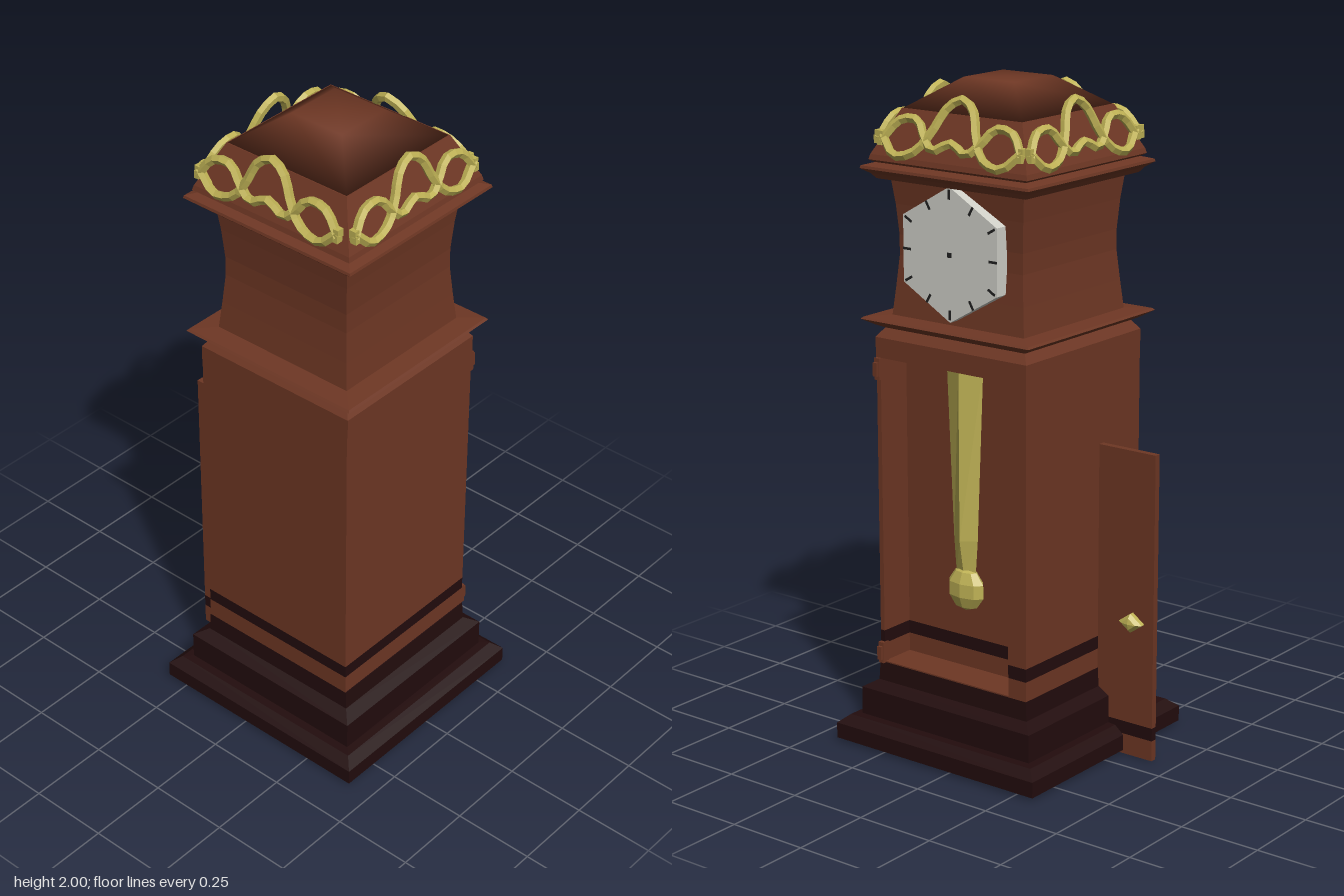
import * as THREE from 'three';
import { mergeVertices } from 'three/addons/utils/BufferGeometryUtils.js';

const mat = (name, color) => {
  const m = new THREE.MeshStandardMaterial({ color });
  m.name = name;
  return m;
};

export function createModel() {
  const wood = mat('brown wood', 0x6e3724);
  const dark = mat('dark wood', 0x220c0d);
  const gold = mat('brass', 0xbfb255);
  const white = mat('dial white', 0xd0d0c8);
  const black = mat('dial black', 0x202020);
  const model = new THREE.Group();
  model.name = 'longcaseClock';
  const ZC = 0.053; // centre of the case in z

  const add = (name, geo, material, parent = model) => {
    const m = new THREE.Mesh(geo, material);
    m.name = name;
    parent.add(m);
    return m;
  };
  const flat = (geo) => {
    const g = geo.index ? geo.toNonIndexed() : geo;
    g.computeVertexNormals();
    return g;
  };
  // box from minimum and maximum corners
  const box = (name, a, b, material) => {
    const m = add(name, new THREE.BoxGeometry(b[0] - a[0], b[1] - a[1], b[2] - a[2]), material);
    m.position.set((a[0] + b[0]) / 2, (a[1] + b[1]) / 2, (a[2] + b[2]) / 2);
    return m;
  };
  // square moulding from [halfWidth, y] rings
  const squareLoft = (rings, smooth) => {
    const pts = rings.map(([h, y]) => new THREE.Vector2(h * Math.SQRT2, y));
    pts.unshift(new THREE.Vector2(0, rings[0][1]));
    pts.push(new THREE.Vector2(0, rings[rings.length - 1][1]));
    const g = new THREE.LatheGeometry(pts, 4).rotateY(Math.PI / 4).translate(0, 0, ZC);
    if (!smooth) return flat(g);
    g.deleteAttribute('uv');
    g.deleteAttribute('normal');
    const s = mergeVertices(g, 1e-4);
    s.computeVertexNormals();
    return s;
  };

  // stepped plinth
  add('plinth', squareLoft([[0.37, 0.01], [0.37, 0.058], [0.34, 0.083], [0.315, 0.085],
    [0.315, 0.17], [0.278, 0.192], [0.275, 0.25]]), dark);

  // trunk with a recess open towards +x, in stacked bands
  const zF = 0.325, zB = -0.221, oF = 0.31, oB = -0.157, X = 0.275, xBack = 0.16;
  const band = (name, y0, y1, material) => {
    const s = new THREE.Shape([[-X, zB], [X, zB], [X, oB], [xBack, oB], [xBack, oF], [X, oF], [X, zF], [-X, zF]]
      .map(([x, z]) => new THREE.Vector2(x, -z)));
    const g = new THREE.ExtrudeGeometry(s, { depth: y1 - y0, bevelEnabled: false });
    add(name, g.rotateX(-Math.PI / 2).translate(0, y0, 0), material);
  };
  band('lowerTrunk', 0.25, 0.31, wood);
  band('trunkStripe', 0.31, 0.35, dark);
  band('upperTrunk', 0.35, 1.19, wood);
  box('recessFloor', [xBack, 0.25, oB], [X, 0.254, oF], wood);
  add('trunkTop', squareLoft([[0.275, 1.19], [0.275, 1.25], [0.255, 1.277]]), wood);

  // waist cornice, hood and hood cornice
  add('waistCornice', squareLoft([[0.25, 1.275], [0.275, 1.287], [0.305, 1.305], [0.3, 1.311], [0.24, 1.315]]), wood);
  add('hood', squareLoft([[0.24, 1.31], [0.231, 1.4], [0.223, 1.49], [0.223, 1.55], [0.23, 1.64], [0.24, 1.72]]), wood);
  add('hoodCornice', squareLoft([[0.268, 1.715], [0.28, 1.73], [0.302, 1.745], [0.3, 1.753], [0.26, 1.765]]), wood);

  // roof
  add('roofSkirt', squareLoft([[0.26, 1.755], [0.284, 1.77], [0.28, 1.785], [0.215, 1.915]]), wood);
  add('roofCrown', squareLoft([[0.215, 1.913], [0.09, 2.0]], true), wood);

  // dial
  const dial = new THREE.Group();
  dial.name = 'dial';
  dial.position.set(0.2, 1.525, 0.055);
  model.add(dial);
  const R = 0.195;
  add('dialPlate', flat(new THREE.CylinderGeometry(R, R, 0.068, 6).rotateY(Math.PI / 2)
    .rotateZ(-Math.PI / 2).translate(0.034, 0, 0)), white, dial);
  for (let i = 0; i < 12; i++) {
    const r = i % 2 ? R * 0.866 - 0.014 : R - 0.022;
    const tick = add('hourMark', new THREE.BoxGeometry(0.006, 0.028, 0.007).translate(0, r, 0), black, dial);
    tick.position.x = 0.067;
    tick.rotation.x = (i * Math.PI) / 6;
  }
  add('dialPin', new THREE.BoxGeometry(0.006, 0.014, 0.014), black, dial).position.x = 0.067;

  // pendulum
  const pendulum = new THREE.Group();
  pendulum.name = 'pendulum';
  pendulum.position.set(0.19, 0, 0.065);
  model.add(pendulum);
  // four-sided rod with the given depth at top and bottom
  const rod = (name, rt, rb, y0, y1, dt, db) => {
    const g = new THREE.CylinderGeometry(rt, rb, y1 - y0, 4).rotateY(Math.PI);
    const p = g.attributes.position;
    for (let i = 0; i < p.count; i++) {
      p.setX(i, p.getX(i) * (p.getY(i) > 0 ? dt / rt : db / rb));
    }
    add(name, flat(g.translate(0, (y0 + y1) / 2, 0)), gold, pendulum);
  };
  rod('pendulumRod', 0.067, 0.044, 0.665, 1.19, 0.03, 0.03);
  rod('pendulumNeck', 0.044, 0.036, 0.56, 0.665, 0.03, 0.012);
  add('pendulumBob', flat(new THREE.SphereGeometry(0.067, 8, 5)), gold, pendulum).position.y = 0.512;
  pendulum.children[2].scale.x = 0.5;

  // hinges
  for (const y of [0.25, 1.125]) {
    box('hinge', [0.262, y, 0.306], [0.287, y + 0.065, 0.325], wood);
    box('hingeKnuckle', [0.28, y + 0.012, 0.308], [0.296, y + 0.053, 0.323], wood);
  }

  // loose door leaf with stripe and knob
  const leaf = (name, y0, y1, m) => box(name, [-0.096, y0, -0.42], [-0.076, y1, 0.05], m);
  leaf('doorFoot', 0, 0.063, wood);
  leaf('doorStripe', 0.063, 0.103, dark);
  leaf('doorPanel', 0.103, 0.943, wood);
  const knob = add('doorKnob', flat(new THREE.SphereGeometry(1, 4, 5).rotateZ(Math.PI / 2)), gold);
  knob.scale.set(0.023, 0.031, 0.043);
  knob.position.set(-0.055, 0.428, -0.357);

  // two interlaced brass strands on each roof side, leaning with the slope
  const strands = [
    [[0, 1.84], [0.06, 1.815], [0.1, 1.845], [0.14, 1.89], [0.2, 1.885], [0.25, 1.825]],
    [[0, 1.957], [0.045, 1.93], [0.08, 1.86], [0.12, 1.808], [0.19, 1.79], [0.25, 1.84]],
  ];
  // [turn, distance, lean, sideways shift]
  const sides = [[0, 0.283, 0.2, 0], [Math.PI / 2, 0.285, 0.45, 0],
    [Math.PI, 0.282, 0.28, 0], [-Math.PI / 2, 0.282, 0.17, -0.015]];
  for (const [turn, dist, lean, shift] of sides) {
    const trim = new THREE.Group();
    trim.name = 'roofTrim';
    trim.position.z = ZC;
    trim.rotation.y = turn;
    model.add(trim);
    for (const half of strands) {
      const mirrored = half.slice(1).reverse().map(([u, v]) => [-u, v]);
      const path = [...mirrored, ...half].map(([u, v]) =>
        new THREE.Vector3(u + shift, v, dist - lean * (v - 1.78)));
      const tube = new THREE.TubeGeometry(new THREE.CatmullRomCurve3(path), 24, 0.014, 5);
      add('trimStrand', flat(tube), gold, trim);
      // end caps
      for (const p of [path[0], path[path.length - 1]]) {
        add('trimEnd', new THREE.BoxGeometry(0.016, 0.024, 0.022), gold, trim).position.copy(p);
      }
    }
  }
  return model;
}
